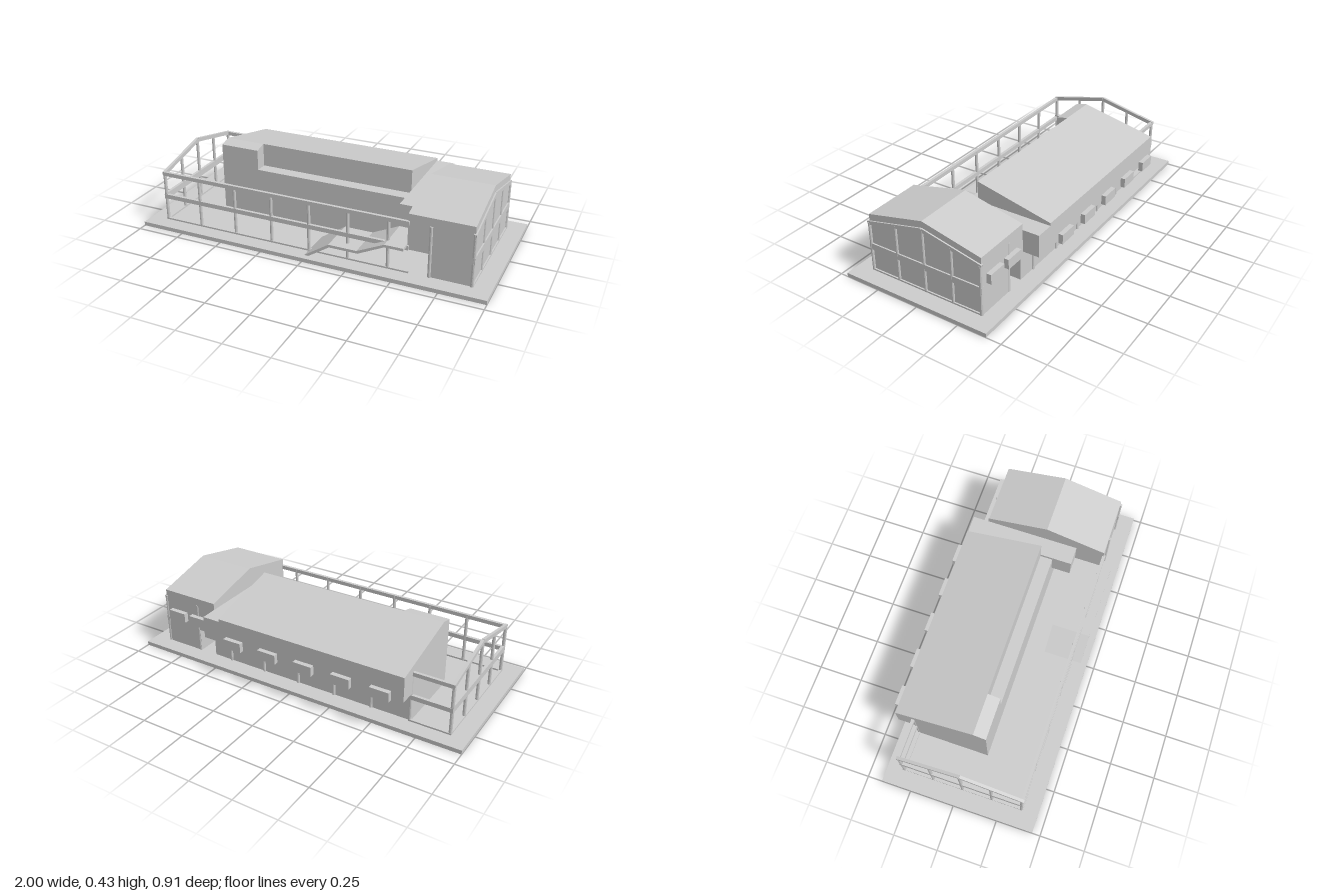
import * as THREE from 'three';

export function createModel() {
  const model = new THREE.Group();
  const mat = new THREE.MeshStandardMaterial({ color: 0xcccccc, flatShading: true });

  function add(name, geo, parent = model) {
    const mesh = new THREE.Mesh(geo, mat);
    mesh.name = name;
    parent.add(mesh);
    return mesh;
  }
  // Box given by its limits
  function box(name, x0, x1, y0, y1, z0, z1, parent) {
    const mesh = add(name, new THREE.BoxGeometry(x1 - x0, y1 - y0, z1 - z0), parent);
    mesh.position.set((x0 + x1) / 2, (y0 + y1) / 2, (z0 + z1) / 2);
  }
  const shapeOf = (pts) => new THREE.Shape(pts.map(([a, b]) => new THREE.Vector2(a, b)));
  // Cross-section of [z, y] points drawn out along x
  function prism(name, pts, x0, x1) {
    const geo = new THREE.ExtrudeGeometry(shapeOf(pts), { depth: x1 - x0, bevelEnabled: false });
    geo.rotateY(-Math.PI / 2).translate(x1, 0, 0);
    add(name, geo);
  }
  // Straight bar between two points
  function bar(name, a, b, width, height, parent) {
    const from = new THREE.Vector3(...a), to = new THREE.Vector3(...b);
    const mesh = add(name, new THREE.BoxGeometry(width, height, from.distanceTo(to)), parent);
    mesh.position.copy(from).add(to).multiplyScalar(0.5);
    mesh.lookAt(to);
  }

  const ground = 0.023, front = 0.36, back = -0.32, ridge = 0.02, side = 0.897;

  // Ground slab
  box('groundSlab', -1, 1, 0, ground, -0.415, 0.455);

  // Main hall: sloping roof, overhanging rear storey, terrace at the front
  const rear = [[-0.32, ground], [-0.32, 0.19], [-0.42, 0.19], [-0.42, 0.333], [ridge, 0.433]];
  prism('hallTallBay', [...rear, [0.09, 0.417], [0.09, ground]].reverse(), -0.68, -0.45);
  prism('hall', [...rear, [ridge, 0.3], [0.09, 0.3], [0.09, ground]].reverse(), -0.45, 0.447);
  box('hallGroundFloorEnd', 0.447, 0.565, ground, 0.19, back, 0.09);

  // Link between the hall and the gabled block
  box('link', 0.447, 0.552, 0.19, 0.317, -0.42, 0.2);

  // Gabled block, with an open passage under its inner edge
  const bz = -0.325;
  prism('gabledBlockUpperFloor',
    [[front, 0.155], [bz, 0.155], [bz, 0.354], [ridge, 0.433], [front, 0.357]], 0.552, side);
  box('gabledBlockGroundFloor', 0.665, side, ground, 0.155, bz, front);

  // Projecting rear windows
  for (let i = -2; i <= 2; i++) {
    const x = -0.113 + i * 0.2245;
    box('hallWindow', x - 0.055, x + 0.055, 0.19, 0.245, -0.459, -0.433);
  }
  for (const x of [0.66, 0.805]) box('blockWindow', x - 0.055, x + 0.055, 0.19, 0.245, -0.352, bz);

  // Post and beam frame
  const frame = new THREE.Group();
  frame.name = 'frame';
  model.add(frame);
  function post(x, z, top) {
    const mesh = add('post', new THREE.CylinderGeometry(0.009, 0.009, top - ground, 10), frame);
    mesh.position.set(x, (top + ground) / 2, z);
  }
  // Front and rear rows
  for (let i = -4; i <= 4; i++) {
    const x = i * 0.2245;
    post(x, front, 0.31);
    post(x, back, i > -3 && i < 3 ? 0.19 : 0.31);
  }
  const levels = [[ground, 0.032], [0.155, 0.18], [0.295, 0.317]];
  levels.forEach(([y0, y1], i) => {
    box('frontBeam', -0.905, i ? 0.56 : 0.565, y0, y1, front - 0.007, front + 0.01, frame);
    box('rearBeam', -0.905, -0.67, y0, y1, back - 0.01, back + 0.007, frame);
  });
  // Gable ends
  const roofY = (z) => 0.385 - Math.abs(z - ridge) * 0.225;
  for (const x of [-side, side]) {
    for (const z of [front, 0.19, ridge, -0.15, back]) post(x, z, roofY(z));
    box('gableSill', x - 0.008, x + 0.008, ground, 0.032, back, front, frame);
    box('gableMidBeam', x - 0.008, x + 0.008, 0.152, 0.188, back - 0.008, front + 0.008, frame);
    for (const z of [front + 0.008, back - 0.008]) {
      bar('gableRafter', [x, roofY(z), z], [x, roofY(ridge), ridge], 0.016, 0.022, frame);
    }
  }

  // Two-flight ramped stair with landings
  const steps = [[0, ground], [0.14, 0.117], [0.3, 0.117], [0.45, 0.188], [0.552, 0.188]];
  const under = [[0.552, 0.173], [0.45, 0.173], [0.305, 0.102], [0.145, 0.102], [0.025, ground]];
  const stair = new THREE.ExtrudeGeometry(shapeOf([...steps, ...under]),
    { depth: 0.22, bevelEnabled: false });
  add('stair', stair.translate(0, 0, 0.2));

  return model;
}
